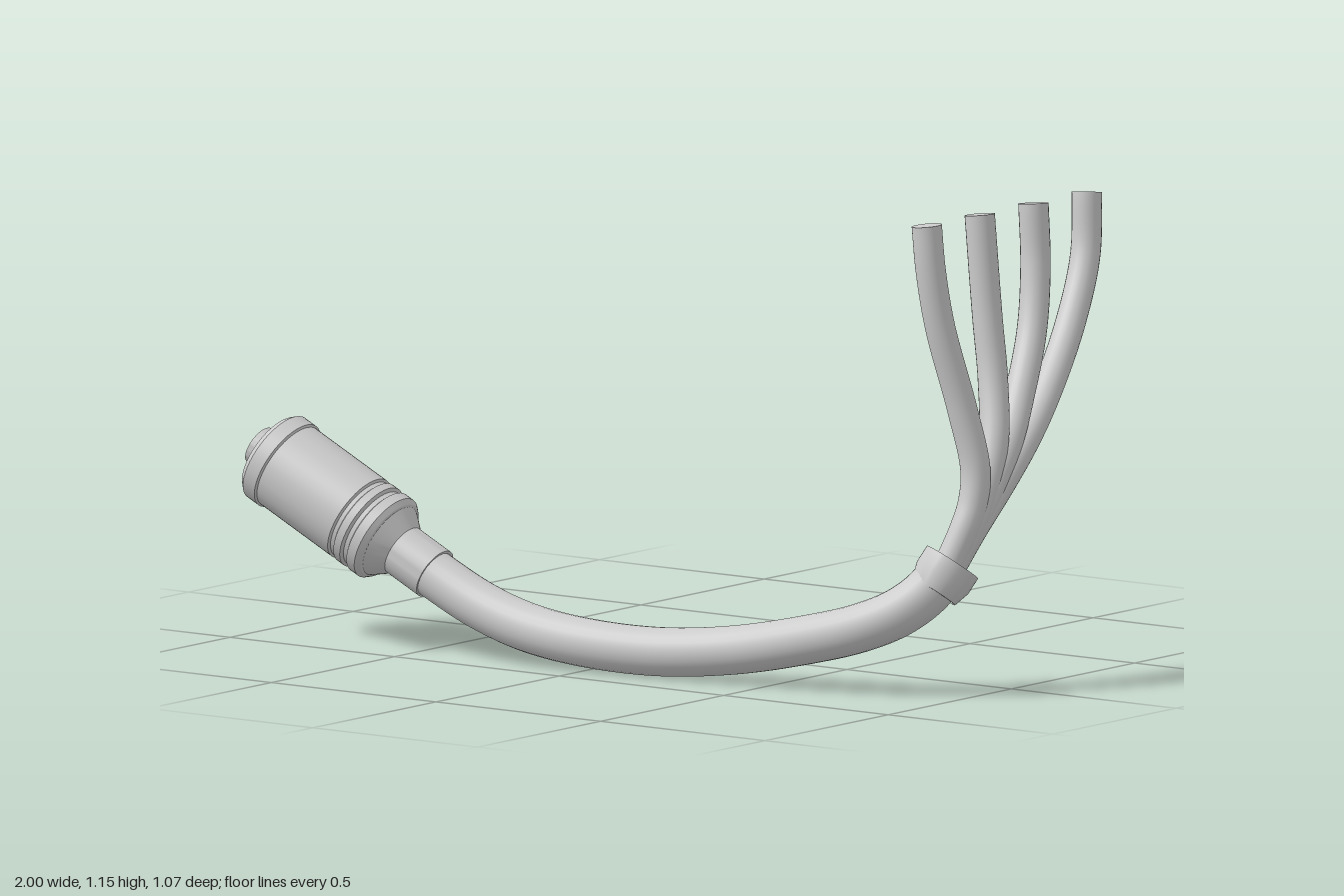
import * as THREE from 'three';
import { toCreasedNormals } from 'three/addons/utils/BufferGeometryUtils.js';

const V = (x, y, z) => new THREE.Vector3(x, y, z);
const V2 = (x, y) => new THREE.Vector2(x, y);

export function createModel() {
  const grey = new THREE.MeshStandardMaterial({ color: 0xcccccc });
  grey.name = 'light grey';
  const model = new THREE.Group();
  model.name = 'cableHarness';

  const add = (name, geometry) => {
    const mesh = new THREE.Mesh(geometry, grey);
    mesh.name = name;
    model.add(mesh);
    return mesh;
  };

  // Turned part: profile of [radius, distance along axis] from start towards direction
  const turned = (name, profile, start, direction) => {
    const lathe = new THREE.LatheGeometry(profile.map(p => V2(p[0], p[1])), 48);
    const mesh = add(name, toCreasedNormals(lathe, 0.5));
    mesh.position.copy(start);
    mesh.quaternion.setFromUnitVectors(V(0, 1, 0), direction.clone().normalize());
  };

  // Round cable swept through points
  const cable = (name, points, radius, segments) => {
    const curve = new THREE.CatmullRomCurve3(points.map(p => V(...p)));
    add(name, new THREE.TubeGeometry(curve, segments, radius, 24));
    return curve;
  };

  // Plug: hollow mouth with a tubular core, ribbed shell, tapered shoulder and neck
  turned('plug', [
    [0, 0.03], [0.037, 0.03], [0.037, -0.042], [0.05, -0.042], [0.05, 0.08],
    [0.088, 0.08], [0.088, 0], [0.107, 0], [0.119, 0.014], [0.119, 0.052],
    [0.114, 0.056], [0.114, 0.29], [0.108, 0.294], [0.108, 0.305],
    [0.114, 0.309], [0.114, 0.33], [0.106, 0.335], [0.106, 0.347],
    [0.114, 0.352], [0.114, 0.378], [0.104, 0.39], [0.098, 0.392],
    [0.066, 0.435], [0.066, 0.54], [0.055, 0.54],
  ], V(-0.939, 0.449, 0.412), V(0.474, -0.251, -0.025));

  // Main cable
  cable('mainCable', [
    [-0.52, 0.228, 0.392], [-0.44, 0.185, 0.388], [-0.32, 0.132, 0.387],
    [-0.18, 0.092, 0.387], [0, 0.07, 0.383], [0.2, 0.064, 0.355],
    [0.4, 0.083, 0.32], [0.6, 0.124, 0.292], [0.74, 0.163, 0.265],
    [0.83, 0.205, 0.23], [0.885, 0.255, 0.19], [0.915, 0.305, 0.16],
  ], 0.06, 100);

  // Splitter cup where the cable divides
  turned('splitterCup', [
    [0.055, 0], [0.062, 0], [0.074, 0.04], [0.074, 0.085], [0.061, 0.085],
    [0.061, 0.05], [0, 0.05],
  ], V(0.9, 0.257, 0.182), V(0.39, 1, -0.58));

  // Four branch wires: [y, z] points; the sideways bend is shared by all
  const bend = new THREE.SplineCurve([
    V2(0.29, 0.915), V2(0.4, 0.945), V2(0.5, 0.955), V2(0.6, 0.945), V2(0.7, 0.922),
    V2(0.8, 0.9), V2(0.95, 0.875), V2(1.15, 0.855),
  ]).getPoints(200);
  const bendX = y => bend.find(p => p.x >= y - 1e-4)?.y ?? 0.855;
  const branches = [
    [[0.29, 0.165], [0.4, 0.122], [0.47, 0.095], [0.55, 0.082], [0.7, 0.096], [0.9, 0.132], [1.04, 0.147], [1.15, 0.15]],
    [[0.29, 0.16], [0.37, 0.118], [0.46, 0.072], [0.6, 0.0], [0.75, -0.045], [0.9, -0.06], [1.15, -0.065]],
    [[0.29, 0.158], [0.4, 0.096], [0.5, 0.025], [0.6, -0.06], [0.7, -0.137], [0.85, -0.23], [1.0, -0.273], [1.15, -0.283]],
    [[0.29, 0.155], [0.4, 0.088], [0.5, -0.012], [0.6, -0.133], [0.7, -0.25], [0.85, -0.388], [1.0, -0.475], [1.15, -0.5]],
  ];
  branches.forEach((points, i) => {
    const curve = cable('branchWire' + (i + 1), points.map(([y, z]) => [bendX(y), y, z]), 0.037, 60);
    // Flat wire end
    const end = add('branchWireEnd' + (i + 1), new THREE.CircleGeometry(0.037, 24));
    end.position.copy(curve.getPoint(1));
    end.quaternion.setFromUnitVectors(V(0, 0, 1), curve.getTangent(1));
  });

  return model;
}
